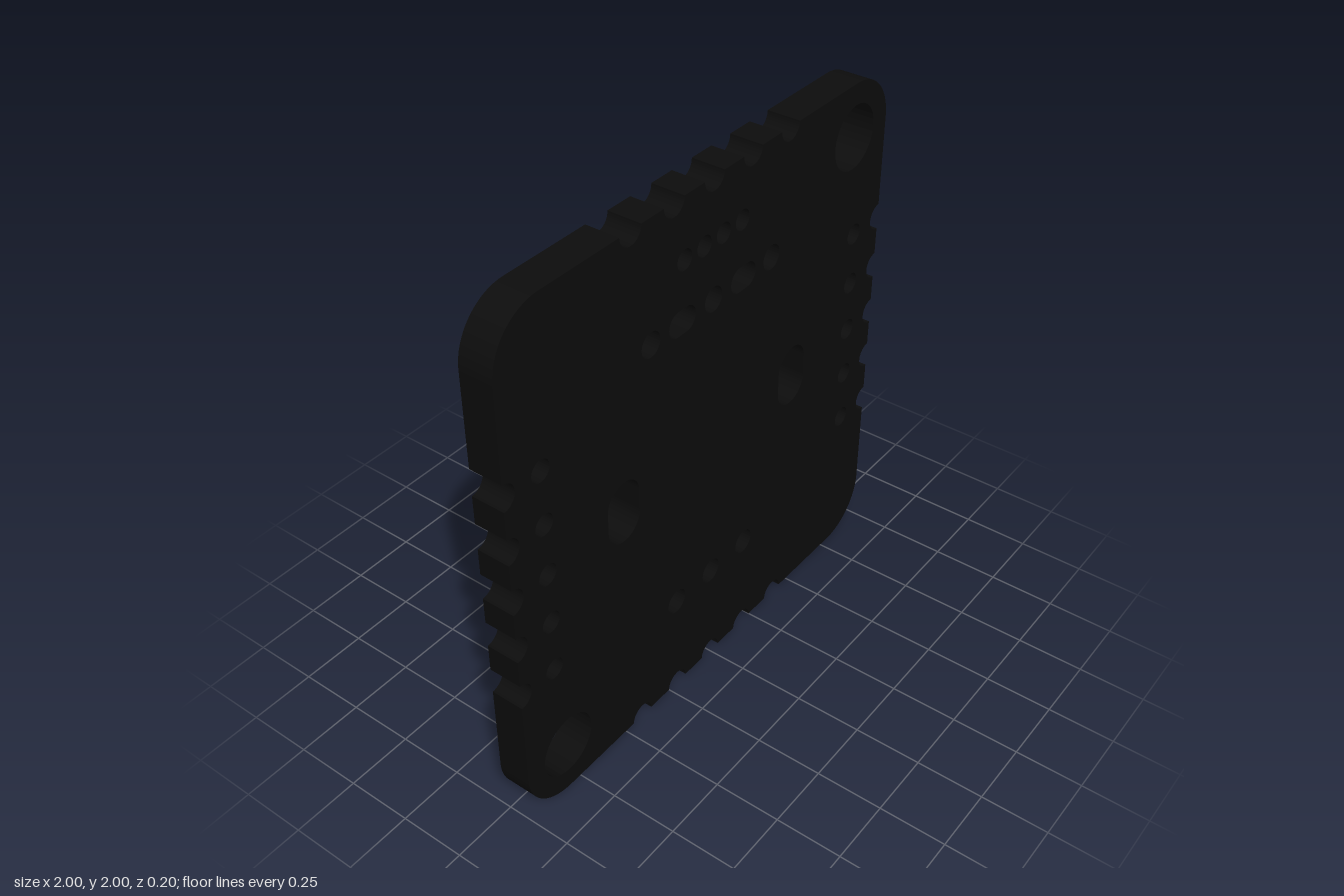
import * as THREE from 'three';

const mat = (name, color) => {
  const m = new THREE.MeshStandardMaterial({ color });
  m.name = name;
  return m;
};

const BACK = -0.027; // rear face of the board
const THICK = 0.125;
const OFFSETS = [-0.405, -0.2, 0, 0.2, 0.405];

export function createModel() {
  const board = mat('board black', 0x0d0d0d);
  const black = mat('component black', 0x0a0a0a);
  const metal = mat('solder grey', 0xb4b4b4);
  const ceramic = mat('ceramic white', 0xd8d8d8);
  const amber = mat('capacitor amber', 0x8f680c);

  const model = new THREE.Group();
  model.name = 'circuitBoard';

  const box = (parent, name, material, size, pos) => {
    const m = new THREE.Mesh(new THREE.BoxGeometry(...size), material);
    m.name = name;
    m.position.set(...pos);
    parent.add(m);
    return m;
  };

  // Board outline: four equal sides, each with five half-round notches and a rounded corner
  const outline = new THREE.Shape();
  for (let k = 0; k < 4; k++) {
    const a = (k * Math.PI) / 2, c = Math.cos(a), s = Math.sin(a);
    const at = (x, y) => [x * c - y * s, 1 + x * s + y * c];
    if (k === 0) outline.moveTo(...at(-0.8, -1));
    for (const o of OFFSETS) {
      outline.lineTo(...at(o - 0.05, -1));
      outline.absarc(...at(o, -1), 0.05, a + Math.PI, a, true);
    }
    outline.lineTo(...at(0.8, -1));
    outline.absarc(...at(0.8, -0.8), 0.2, a - Math.PI / 2, a, false);
  }

  // Round holes, and slots stretched along x or y
  const hole = (x, y, r, dx = 0, dy = 0) => {
    const p = new THREE.Path();
    if (dx === 0 && dy === 0) {
      p.absarc(x, y, r, 0, Math.PI * 2, true);
    } else {
      const t = dx ? 0 : Math.PI / 2;
      p.absarc(x + dx, y + dy, r, t + Math.PI / 2, t - Math.PI / 2, true);
      p.absarc(x - dx, y - dy, r, t - Math.PI / 2, t - Math.PI * 1.5, true);
      p.closePath();
    }
    outline.holes.push(p);
  };
  hole(0.8, 1.8, 0.12);
  hole(-0.8, 0.2, 0.12);
  for (const x of [-0.15, -0.05, 0.05, 0.15]) hole(x, 1.78, 0.037);
  for (const x of [-0.32, 0, 0.32]) hole(x, 1.562, 0.046);
  for (const x of [-0.2, 0, 0.2]) hole(x, 0.405, 0.048);
  for (const side of [-1, 1]) {
    hole(side * 0.162, 1.562, 0.046, 0.022, 0);
    hole(side * 0.472, 1, 0.079, 0, 0.041);
    for (const o of OFFSETS) hole(side * 0.84, 1 + o, 0.04);
  }
  const plateGeo = new THREE.ExtrudeGeometry(outline, {
    depth: THICK, bevelEnabled: false, curveSegments: 16,
  });
  const plate = new THREE.Mesh(plateGeo, board);
  plate.name = 'board';
  plate.position.z = BACK;
  model.add(plate);

  // Two-terminal part lying along its local y axis on the rear face
  const part = (name, x, y, angle, [w, l, h], bodyMat, end, topMat) => {
    const g = new THREE.Group();
    g.name = name;
    g.position.set(x, y, BACK);
    g.rotation.z = angle;
    const bh = h - 0.003;
    box(g, 'body', bodyMat, [w * 0.96, l - 2 * end, bh], [0, 0, -bh / 2]);
    if (topMat) box(g, 'topCoat', topMat, [w * 0.96, l - 2 * end, 0.003], [0, 0, -bh - 0.0015]);
    for (const s of [-1, 1]) {
      box(g, 'terminal', metal, [w, end, h], [0, s * (l - end) / 2, -h / 2]);
    }
    model.add(g);
  };

  const resistor = (x, y, angle = 0) =>
    part('resistor', x, y, angle, [0.042, 0.08, 0.03], ceramic, 0.016, black);
  const capacitor = (x, y, angle = 0) =>
    part('capacitor', x, y, angle, [0.045, 0.08, 0.037], amber, 0.018);

  // Upper row, lower row and the pair near the corner
  for (let i = 0; i < 5; i++) resistor(0.545 - i * 0.105, 1.325);
  for (const x of [0.205, 0.105, -0.09, -0.19, -0.395]) resistor(x, 0.62);
  for (const x of [0.305, -0.295]) capacitor(x, 0.62);
  for (const y of [1.755, 1.655]) resistor(-0.56, y, Math.PI / 2);

  // Diagonal group beside the chip
  const diag = -Math.PI / 4;
  capacitor(-0.225, 1.17, diag);
  part('diode', -0.295, 1.24, diag, [0.05, 0.08, 0.045], black, 0.012, black);
  part('largeCapacitor', -0.4, 1.33, diag, [0.1, 0.105, 0.073], amber, 0.024);

  // Square chip turned by 45 degrees, with six contacts along each side
  const chip = new THREE.Group();
  chip.name = 'chip';
  chip.position.set(0, 1.005, BACK);
  chip.rotation.z = Math.PI / 4;
  box(chip, 'chipBody', black, [0.318, 0.318, 0.064], [0, 0, -0.032]);
  for (let k = 0; k < 4; k++) {
    const side = new THREE.Group();
    side.name = 'contactRow';
    side.rotation.z = (k * Math.PI) / 2;
    for (let i = 0; i < 6; i++) {
      box(side, 'contact', ceramic, [0.015, 0.004, 0.013], [(i - 2.5) * 0.034, 0.159, -0.0095]);
    }
    chip.add(side);
  }
  model.add(chip);

  return model;
}
